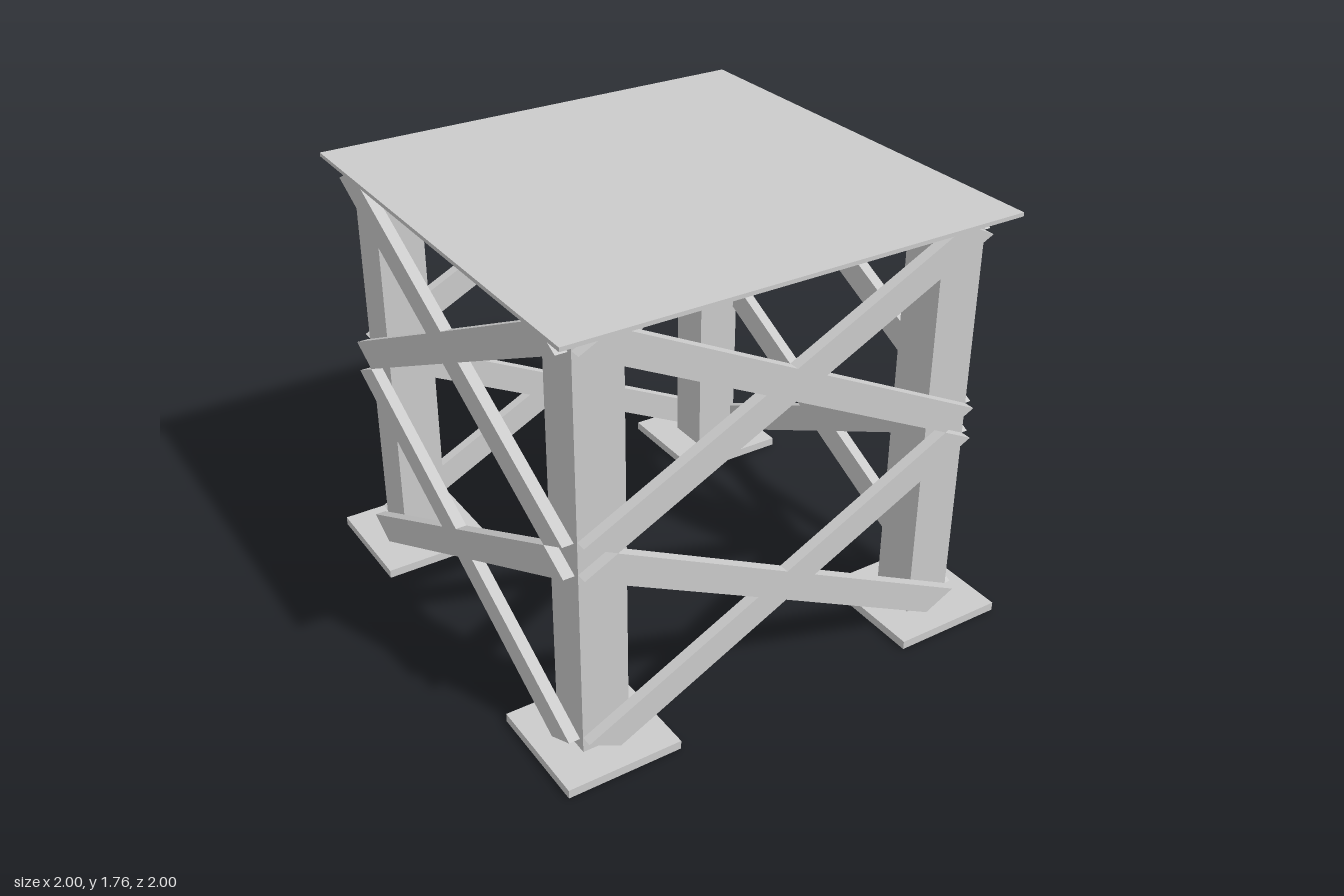
import * as THREE from 'three';

export function createModel() {
  const model = new THREE.Group();
  model.name = 'tower';
  const material = new THREE.MeshStandardMaterial({ color: 0xcccccc, flatShading: true });

  function add(name, geometry, x, y, z, turn = 0) {
    const mesh = new THREE.Mesh(geometry, material);
    mesh.name = name;
    mesh.position.set(x, y, z);
    mesh.rotation.y = turn;
    model.add(mesh);
  }

  // Deck plate
  add('deck', new THREE.BoxGeometry(1.9, 0.016, 1.9), 0, 1.757, 0);

  // Corner legs on square foot pads
  const leg = new THREE.BoxGeometry(0.193, 1.715, 0.193);
  const pad = new THREE.BoxGeometry(0.472, 0.036, 0.472);
  for (const sx of [-1, 1]) {
    for (const sz of [-1, 1]) {
      add('leg', leg, sx * 0.762, 0.8925, sz * 0.762);
      add('footPad', pad, sx * 0.764, 0.018, sz * 0.764);
    }
  }

  // X-shaped brace with ends cut along the opposite diagonal
  const quarter = [[0.13, 0], [0.858, 0.362], [0.727, 0.428], [0, 0.065]];
  const mirrored = quarter.slice(1, 3).reverse().map(([x, y]) => [-x, y]);
  const upper = [...quarter, ...mirrored];
  const lower = upper.map(([x, y]) => [-x, -y]);
  const outline = [...upper, ...lower].map(([x, y]) => new THREE.Vector2(x, y));
  const thickness = 0.045;
  const brace = new THREE.ExtrudeGeometry(new THREE.Shape(outline), { depth: thickness, bevelEnabled: false });
  brace.translate(0, 0, -thickness / 2);

  // Two bays of bracing on each of the four sides
  for (const y of [0.466, 1.323]) {
    for (const s of [-1, 1]) {
      add('crossBrace', brace, 0, y, s * 0.882);
      add('sideCrossBrace', brace, s * 0.878 - 0.015, y, 0, Math.PI / 2);
    }
  }

  return model;
}
